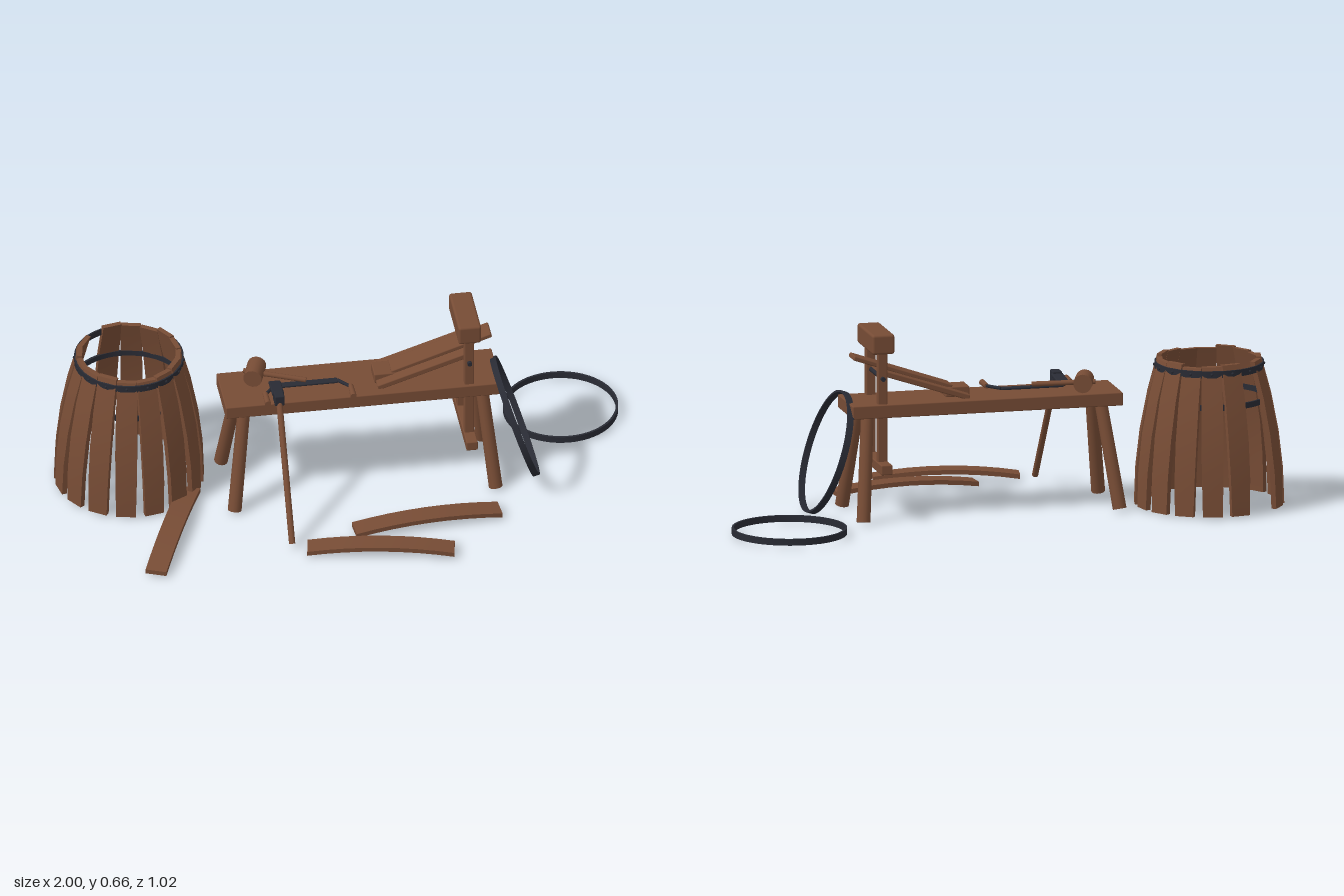
import * as THREE from 'three';
import { toCreasedNormals } from 'three/addons/utils/BufferGeometryUtils.js';
import { RoundedBoxGeometry } from 'three/addons/geometries/RoundedBoxGeometry.js';

const wood = new THREE.MeshStandardMaterial({ color: 0x774c35 });
wood.name = 'oak';
const iron = new THREE.MeshStandardMaterial({ color: 0x292b34 });
iron.name = 'darkIron';

function add(parent, name, geometry, material, x = 0, y = 0, z = 0) {
  const mesh = new THREE.Mesh(geometry, material);
  mesh.name = name;
  mesh.position.set(x, y, z);
  parent.add(mesh);
  return mesh;
}

// Softly rounded block
const block = (w, h, d, r = 0.004) => new RoundedBoxGeometry(w, h, d, 2, r);

// Tapered round bar between two points
function rod(parent, name, a, b, ra, rb, material) {
  const from = new THREE.Vector3(...a), to = new THREE.Vector3(...b);
  const dir = to.clone().sub(from);
  const mesh = add(parent, name, new THREE.CylinderGeometry(rb, ra, dir.length(), 14), material);
  mesh.position.copy(from).add(to).multiplyScalar(0.5);
  mesh.quaternion.setFromUnitVectors(new THREE.Vector3(0, 1, 0), dir.normalize());
  return mesh;
}

// Flat iron band with its axis along y
function band(radius, height, thick = 0.008) {
  const h = height / 2, i = radius - thick;
  const pts = [[i, -h], [radius, -h], [radius, h], [i, h], [i, -h]];
  return toCreasedNormals(new THREE.LatheGeometry(pts.map(p => new THREE.Vector2(...p)), 56), 0.6);
}

// Upright stave: bends inward towards its top
function bentStave(height) {
  const g = new THREE.BoxGeometry(0.068, height, 0.018, 1, 4, 1).translate(0, height / 2, 0);
  const p = g.attributes.position;
  for (let i = 0; i < p.count; i++) {
    const t = p.getY(i) / height;
    p.setX(i, p.getX(i) * (1 + 0.12 * Math.sin(Math.PI * t)));
    p.setZ(i, p.getZ(i) + 0.25 - 0.08 * t * t);
  }
  return toCreasedNormals(g, 0.1);
}

// Loose stave lying on the ground, arched along x
function looseStave(length) {
  const g = new THREE.BoxGeometry(length, 0.016, 0.074, 8, 1, 1);
  const p = g.attributes.position;
  for (let i = 0; i < p.count; i++) {
    const t = 2 * p.getX(i) / length;
    p.setY(i, p.getY(i) + 0.01 + 0.02 * (1 - t * t));
  }
  return toCreasedNormals(g, 0.1);
}

function makeBarrel() {
  const barrel = new THREE.Group();
  barrel.name = 'raisedBarrel';
  barrel.position.set(-0.74, 0, -0.165);
  for (let i = 0; i < 16; i++) {
    const a = (i + 0.5) * Math.PI / 8;
    // Small rivets on the top hoop
    add(barrel, 'hoopRivet', new THREE.SphereGeometry(0.005, 8, 6), iron,
      Math.sin(a) * 0.19, 0.49, Math.cos(a) * 0.19);
    if (i === 9) continue; // one stave still missing
    const stave = add(barrel, 'barrelStave', bentStave(0.51 + 0.005 * ((i * 7) % 3)), wood);
    stave.rotation.y = a;
  }
  add(barrel, 'topHoop', band(0.19, 0.024, 0.006), iron, 0, 0.49, 0);
  add(barrel, 'innerHoop', band(0.204, 0.02), iron, 0, 0.375, 0);
  return barrel;
}

function makeBench() {
  const bench = new THREE.Group();
  bench.name = 'shavingBench';
  bench.position.z = -0.047;
  add(bench, 'benchPlank', block(0.965, 0.047, 0.215), wood, 0.047, 0.378, 0);
  for (const s of [1, -1]) {
    rod(bench, 'backLeg', [-0.412, 0, s * 0.152], [-0.365, 0.37, s * 0.065], 0.024, 0.022, wood);
    rod(bench, 'frontLeg', [0.503, 0, s * 0.152], [0.467, 0.37, s * 0.065], 0.024, 0.022, wood);
    // Swinging clamp frame
    add(bench, 'clampUpright', block(0.034, 0.44, 0.028), wood, 0.42, 0.385, s * 0.082);
  }
  add(bench, 'clampHead', block(0.08, 0.07, 0.22, 0.009), wood, 0.42, 0.615, 0);
  add(bench, 'footBar', block(0.04, 0.035, 0.315), wood, 0.42, 0.181, 0);
  rod(bench, 'pivotPin', [0.42, 0.492, -0.108], [0.42, 0.492, 0.108], 0.008, 0.008, iron);

  // Sloping work rest
  const rest = add(bench, 'workRest', block(0.33, 0.02, 0.15), wood, 0.26, 0.456, 0);
  rest.rotation.z = 0.32;
  const piece = add(bench, 'clampedPiece', block(0.37, 0.016, 0.074), wood, 0.332, 0.497, 0);
  piece.rotation.z = 0.33;
  add(bench, 'restBlock', block(0.085, 0.036, 0.08), wood, 0.138, 0.42, 0);
  return bench;
}

function makeTools() {
  const tools = new THREE.Group();
  tools.name = 'tools';

  // Mallet lying on the bench
  const mallet = new THREE.Group();
  mallet.name = 'mallet';
  mallet.position.set(-0.31, 0.435, -0.095);
  mallet.rotation.y = -0.33;
  rod(mallet, 'malletHead', [0, 0, -0.045], [0, 0, 0.045], 0.033, 0.033, wood);
  rod(mallet, 'malletHandle', [-0.04, 0, 0], [0.18, -0.013, 0], 0.009, 0.009, wood);
  tools.add(mallet);

  // Drawknife: blade, bent tangs and two grips
  add(tools, 'drawknifeBlade', block(0.22, 0.008, 0.026, 0.003), iron, -0.14, 0.411, -0.033);
  for (const s of [1, -1]) {
    const x = -0.14 + s * 0.11, tip = -0.14 + s * 0.15;
    rod(tools, 'drawknifeTang', [x, 0.412, -0.033], [tip, 0.413, 0.015], 0.006, 0.006, iron);
    rod(tools, 'drawknifeGrip', [tip, 0.413, 0.01], [tip, 0.413, 0.075], 0.009, 0.011, wood);
  }

  // Adze leaning on the bench
  rod(tools, 'adzeHandle', [-0.25, 0.012, 0.355], [-0.25, 0.425, 0.065], 0.011, 0.011, wood);
  add(tools, 'adzeEye', block(0.034, 0.04, 0.045), iron, -0.25, 0.425, 0.06);
  const blade = add(tools, 'adzeBlade', block(0.042, 0.012, 0.09), iron, -0.25, 0.428, 0.005);
  blade.rotation.x = -0.1;
  return tools;
}

export function createModel() {
  const model = new THREE.Group();
  model.name = 'cooperWorkshop';
  model.add(makeBarrel(), makeBench(), makeTools());

  // Staves on the ground: x, z, turn, length
  for (const [x, z, turn, length] of [
    [0.235, 0.282, 0.085, 0.52], [0.05, 0.427, -0.17, 0.51], [-0.645, 0.21, 1.185, 0.52],
  ]) {
    add(model, 'looseStave', looseStave(length), wood, x, 0, z).rotation.y = turn;
  }

  // Spare hoops: one flat, one leaning on the bench end
  add(model, 'lyingHoop', band(0.2, 0.023), iron, 0.797, 0.012, -0.315);
  add(model, 'leaningHoop', band(0.22, 0.022), iron, 0.587, 0.213, -0.003).rotation.z = -1.25;
  return model;
}
